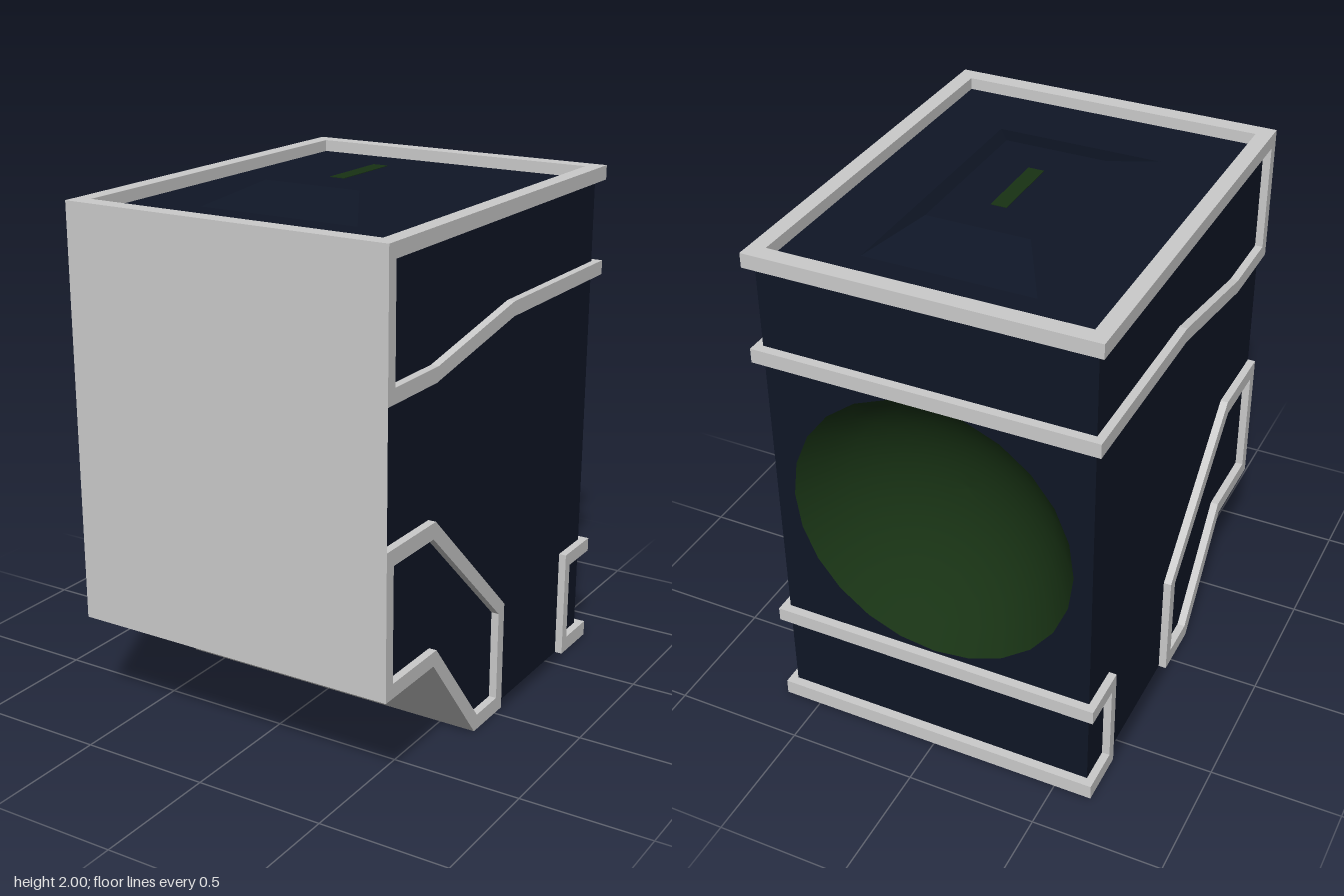
import * as THREE from 'three';

const HALF_W = 0.645, HALF_D = 0.81, TOP = 1.97, INSET = 0.03;
const BODY_X = HALF_W - INSET, BACK_Z = -0.775;

const grey = new THREE.MeshStandardMaterial({ color: 0xcccccc, flatShading: true });
const navy = new THREE.MeshStandardMaterial({ color: 0x0f1626, flatShading: true, side: THREE.DoubleSide });
const green = new THREE.MeshStandardMaterial({ color: 0x183214, side: THREE.DoubleSide });

const toShape = (pts) => new THREE.Shape(pts.map(([a, b]) => new THREE.Vector2(a, b)));
const rect = (w, d) => [[-w, -d], [w, -d], [w, d], [-w, d]];

export function createModel() {
  const group = new THREE.Group();
  const add = (name, geometry, material, x = 0, y = 0, z = 0) => {
    const mesh = new THREE.Mesh(geometry, material);
    mesh.name = name;
    mesh.position.set(x, y, z);
    group.add(mesh);
    return mesh;
  };

  // Outer shell: front, stepped underside and base, swept across the width
  const shellPath = [[HALF_D, TOP], [HALF_D, 0.405], [0.485, 0.405], [0.165, 0], [-HALF_D, 0]];
  const corners = [];
  for (let i = 0; i < shellPath.length - 1; i++) {
    const [z0, y0] = shellPath[i], [z1, y1] = shellPath[i + 1];
    const a = [-HALF_W, y0, z0], b = [-HALF_W, y1, z1], c = [HALF_W, y1, z1], d = [HALF_W, y0, z0];
    corners.push(...a, ...b, ...c, ...a, ...c, ...d);
  }
  const shell = new THREE.BufferGeometry();
  shell.setAttribute('position', new THREE.Float32BufferAttribute(corners, 3));
  shell.computeVertexNormals();
  add('frontAndBaseShell', shell, grey);

  // Side outlines, as (z, y)
  const upperTrim = toShape([
    [HALF_D, TOP], [-HALF_D, TOP], [-HALF_D, 1.915], [0.765, 1.915], [0.765, 1.5], [0.485, 1.5],
    [-0.06, 1.6], [-HALF_D, 1.6], [-HALF_D, 1.545], [-0.06, 1.545], [0.495, 1.445], [HALF_D, 1.445],
  ]);
  const frontTrim = toShape([
    [HALF_D, 0.95], [0.485, 0.95], [-0.055, 0.435], [-0.055, 0], [0.165, 0], [0.485, 0.405], [HALF_D, 0.405],
  ]);
  frontTrim.holes.push(toShape([
    [0.765, 0.89], [0.5, 0.89], [-0.01, 0.41], [-0.01, 0.06], [0.145, 0.06], [0.465, 0.46], [0.765, 0.46],
  ]));
  const rearTrim = toShape([
    [-HALF_D, 0.435], [-0.595, 0.435], [-0.595, 0], [-HALF_D, 0],
    [-HALF_D, 0.06], [-0.635, 0.06], [-0.635, 0.38], [-HALF_D, 0.38],
  ]);
  const sidePanel = toShape([
    [HALF_D, 1.93], [BACK_Z, 1.93], [BACK_Z, 0], [0.165, 0], [0.485, 0.405], [HALF_D, 0.405],
  ]);

  // Raised trims and recessed panel on both sides
  for (const [side, s] of [['left', 1], ['right', -1]]) {
    const trims = { UpperTrim: upperTrim, FrontTrim: frontTrim, RearTrim: rearTrim };
    for (const [name, shape] of Object.entries(trims)) {
      const g = new THREE.ExtrudeGeometry(shape, { depth: INSET, bevelEnabled: false }).rotateY(-Math.PI / 2);
      add(side + name, g, grey, s > 0 ? HALF_W : -HALF_W + INSET);
    }
    add(side + 'Panel', new THREE.ShapeGeometry(sidePanel).rotateY(-Math.PI / 2), navy, s * BODY_X);
  }

  // Back bars joining the side trims
  for (const [low, high] of [[0, 0.06], [0.38, 0.435], [1.545, 1.6], [1.915, TOP]]) {
    const depth = HALF_D + BACK_Z;
    add('backBar', new THREE.BoxGeometry(HALF_W * 2, high - low, depth), grey,
      0, (low + high) / 2, BACK_Z - depth / 2);
  }

  // Back panel with a round opening
  const R = 0.545, dishY = 0.99;
  const back = toShape([[-BODY_X, 0], [BODY_X, 0], [BODY_X, 1.93], [-BODY_X, 1.93]]);
  back.holes.push(new THREE.Path().absarc(0, dishY, R, 0, Math.PI * 2, true));
  add('backPanel', new THREE.ShapeGeometry(back, 12), navy, 0, 0, BACK_Z);

  // Concave dish set into the back
  const depth = 0.3, sphereR = (R * R + depth * depth) / (2 * depth);
  const arc = [];
  for (let i = 0; i <= 8; i++) {
    const r = R * (1 - i / 8);
    arc.push(new THREE.Vector2(r, Math.sqrt(sphereR ** 2 - r * r) - sphereR + depth));
  }
  add('backDish', new THREE.LatheGeometry(arc, 24).rotateX(Math.PI / 2), green, 0, dishY, BACK_Z);

  // Top rim around the recessed lid
  const rim = toShape(rect(HALF_W, HALF_D));
  rim.holes.push(toShape(rect(0.585, 0.745)));
  add('topRim', new THREE.ExtrudeGeometry(rim, { depth: 0.055, bevelEnabled: false }).rotateX(-Math.PI / 2),
    grey, 0, TOP - 0.055, 0);
  add('lid', new THREE.PlaneGeometry(1.2, 1.52).rotateX(-Math.PI / 2), navy, 0, 1.925, 0);

  // Raised lid centre: a box with its top drawn in
  const hump = new THREE.BoxGeometry(1, 1, 1);
  const p = hump.attributes.position;
  for (let i = 0; i < p.count; i++) {
    const up = p.getY(i) > 0, front = p.getZ(i) > 0;
    p.setXYZ(i, Math.sign(p.getX(i)) * (up ? 0.195 : 0.33), up ? 1.998 : 1.92,
      front ? (up ? 0.255 : 0.485) : (up ? -0.37 : -0.605));
  }
  hump.computeVertexNormals();
  add('lidHump', hump, navy);
  add('lidSlot', new THREE.BoxGeometry(0.06, 0.01, 0.3), green, 0, 1.995, -0.06);

  return group;
}
